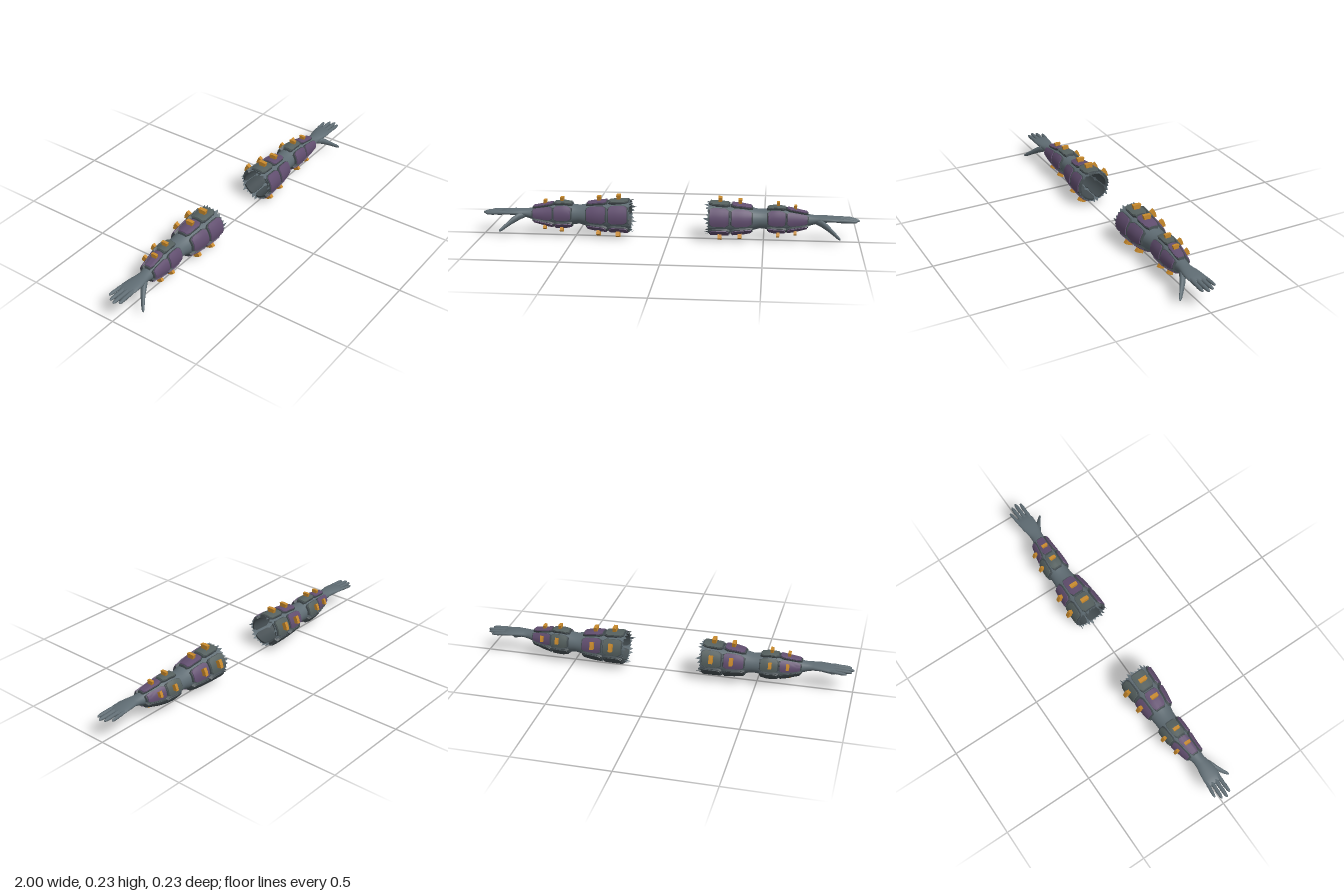
import * as THREE from 'three';
import { toCreasedNormals } from 'three/addons/utils/BufferGeometryUtils.js';

// Arm cross-sections along x: [x, centreY, centreZ, radiusY, radiusZ]
const ARM = [
  [0.215, 0.103, -0.006, 0.079, 0.08], [0.27, 0.102, -0.006, 0.078, 0.079],
  [0.33, 0.1, -0.006, 0.075, 0.075], [0.39, 0.1, -0.007, 0.07, 0.07],
  [0.44, 0.1, -0.009, 0.06, 0.062], [0.48, 0.102, -0.012, 0.051, 0.056],
  [0.52, 0.102, -0.012, 0.055, 0.055], [0.56, 0.101, -0.011, 0.063, 0.056],
  [0.61, 0.1, -0.008, 0.06, 0.053], [0.66, 0.1, -0.004, 0.05, 0.046],
  [0.72, 0.103, 0.002, 0.035, 0.038], [0.76, 0.107, 0.006, 0.025, 0.032],
  [0.79, 0.111, 0.008, 0.02, 0.036], [0.83, 0.113, 0.007, 0.017, 0.043],
  [0.87, 0.112, 0.005, 0.014, 0.046], [0.9, 0.11, 0.003, 0.011, 0.043], [0.912, 0.109, 0.002, 0.002, 0.03],
];

function sectionAt(x) {
  let i = 0;
  while (i < ARM.length - 2 && ARM[i + 1][0] < x) i++;
  const a = ARM[i], b = ARM[i + 1];
  const t = THREE.MathUtils.clamp((x - a[0]) / (b[0] - a[0]), 0, 1);
  return a.map((v, k) => v + (b[k] - v) * t);
}

// Point at an angle around the arm (0 = front, 90 degrees = top), raised by h
function armPoint(x, angle, h) {
  const [, cy, cz, ry, rz] = sectionAt(x);
  return [x, cy + Math.sin(angle) * (ry + h), cz + Math.cos(angle) * (rz + h)];
}

// Smooth skin through elliptical sections
function loft(sections, sides) {
  const pos = [], idx = [];
  for (const [x, cy, cz, ry, rz] of sections)
    for (let j = 0; j < sides; j++) {
      const a = (j / sides) * Math.PI * 2;
      pos.push(x, cy + Math.sin(a) * ry, cz + Math.cos(a) * rz);
    }
  for (let i = 0; i < sections.length - 1; i++)
    for (let j = 0; j < sides; j++) {
      const a = i * sides + j, b = i * sides + ((j + 1) % sides);
      idx.push(a, a + sides, b, b, a + sides, b + sides);
    }
  const g = new THREE.BufferGeometry();
  g.setAttribute('position', new THREE.Float32BufferAttribute(pos, 3));
  g.setIndex(idx);
  g.computeVertexNormals();
  return g;
}

// Curved plate wrapped round the arm, with cut corners and bevelled top
function plate(x0, x1, angle, width, low, high) {
  const g = new THREE.BoxGeometry(1, 1, 1, 6, 1, 6);
  const p = g.attributes.position;
  for (let i = 0; i < p.count; i++) {
    const top = p.getY(i) > 0;
    const u = p.getX(i) * (top ? 0.93 : 1);
    const cut = Math.abs(p.getX(i)) > 0.45 ? 0.78 : 1;
    const v = p.getZ(i) * cut * (top ? 0.92 : 1);
    p.setXYZ(i, ...armPoint((x0 + x1) / 2 + u * (x1 - x0), angle - v * width, top ? high : low));
  }
  return toCreasedNormals(g, 0.5);
}

// Stud that widens outwards
function stud(x, angle, size) {
  const g = new THREE.BoxGeometry(0.02 * size, 0.036 * size, 0.046 * size, 1, 2, 2);
  const p = g.attributes.position;
  for (let i = 0; i < p.count; i++) {
    const up = p.getY(i) / (0.036 * size) + 0.5;
    const crown = up > 0.9 && Math.abs(p.getZ(i)) < 0.001 ? 0.002 : 0;
    p.setXYZ(i, p.getX(i), p.getY(i) + crown, p.getZ(i) * (0.62 + 0.38 * up));
  }
  g.rotateX(Math.PI / 2 - angle);
  g.translate(...armPoint(x, angle, 0.018));
  return toCreasedNormals(g, 0.4);
}

// Torn edge of the sleeve: a ring of uneven pointed strips
function tornCuff() {
  const pos = [], n = 26;
  for (let i = 0; i < n; i++) {
    const a0 = (i / n) * Math.PI * 2, a1 = ((i + 1) / n) * Math.PI * 2;
    const tip = 0.183 + 0.022 * Math.abs(Math.sin(i * 2.3));
    const P = armPoint(0.25, a0, 0.003), Q = armPoint(0.25, a1, 0.003);
    const R = armPoint(0.212, a0, 0.005), S = armPoint(0.212, a1, 0.005);
    const T = armPoint(0.215, (a0 + a1) / 2 + 0.06, 0.009);
    T[0] = tip;
    pos.push(...R, ...P, ...S, ...S, ...P, ...Q, ...T, ...R, ...S);
  }
  const g = new THREE.BufferGeometry();
  g.setAttribute('position', new THREE.Float32BufferAttribute(pos, 3));
  g.computeVertexNormals();
  return g;
}

// Mirror a geometry across x and restore its winding
function mirrored(geometry) {
  const g = geometry.index ? geometry.toNonIndexed() : geometry.clone();
  g.scale(-1, 1, 1);
  for (const attr of Object.values(g.attributes)) {
    const n = attr.itemSize, a = attr.array;
    for (let t = 0; t < attr.count; t += 3)
      for (let k = 0; k < n; k++) {
        const b = (t + 1) * n + k, c = (t + 2) * n + k;
        [a[b], a[c]] = [a[c], a[b]];
      }
  }
  return g;
}

export function createModel() {
  const mat = (name, color, extra) => new THREE.MeshStandardMaterial({ name, color, ...extra });
  const slate = mat('slate', 0x5f6c73, { side: THREE.DoubleSide });
  const dark = mat('dark slate', 0x434c50);
  const plateGrey = mat('plate grey', 0x55605f);
  const purple = mat('purple', 0x614e6f);
  const orange = mat('orange', 0xc98a2c);

  const parts = [];
  const add = (name, geometry, material) => parts.push({ name, geometry, material });

  // Arm, hand and torn sleeve
  add('armAndPalm', loft(ARM, 28), slate);
  add('tornCuff', tornCuff(), slate);

  // Fingers: [tip x, base z, tip z, radius]
  [[0.965, -0.03, -0.041, 0.009], [0.99, -0.009, -0.014, 0.0105],
    [1.0, 0.014, 0.012, 0.011], [0.985, 0.036, 0.038, 0.0105]].forEach(([tip, z0, z1, r], i) => {
    const sections = [[0, 0.9], [0.3, 1.08], [0.5, 0.92], [0.65, 1], [0.88, 0.8], [0.97, 0.5], [1, 0.05]]
      .map(([t, s]) => [0.87 + (tip - 0.87) * t, 0.112 - 0.004 * t, z0 + (z1 - z0) * t, r * s, r * s]);
    add('finger' + (i + 1), loft(sections, 10), slate);
  });
  add('thumb', loft([
    [0.765, 0.105, 0.018, 0.016, 0.016], [0.8, 0.096, 0.036, 0.021, 0.019],
    [0.835, 0.075, 0.057, 0.018, 0.016], [0.865, 0.052, 0.08, 0.013, 0.012],
    [0.885, 0.037, 0.096, 0.011, 0.01], [0.896, 0.03, 0.104, 0.005, 0.005], [0.898, 0.029, 0.105, 0.001, 0.001],
  ], 12), slate);

  // Armour bands: start, end, stud position, stud size, colour of upper plates
  const bands = [
    [0.21, 0.325, 0.27, 1, plateGrey], [0.325, 0.445, 0.375, 0.95, purple],
    [0.515, 0.62, 0.575, 0.8, plateGrey], [0.615, 0.735, 0.665, 0.75, purple],
  ];
  // Plates around each band: name, angle, width (degrees), has a stud
  const around = [
    ['top', 90, 60, true], ['back', 159, 66, true], ['under', 226, 58, false],
    ['lowerFront', 294, 66, true], ['front', 15, 76, false],
  ];
  const rad = THREE.MathUtils.degToRad;
  bands.forEach(([x0, x1, sx, size, upper], b) => {
    for (const [side, deg, width, studded] of around) {
      const name = side + 'Plate' + (b + 1), a = rad(deg), w = rad(width);
      const colour = side === 'under' ? dark : side === 'front' || side === 'lowerFront' ? purple : upper;
      add(name + 'Rim', plate(x0, x1, a, w, -0.006, 0.01), dark);
      add(name, plate(x0 + 0.006, x1 - 0.006, a, w * 0.92, 0.002, 0.0145), colour);
      if (studded) add(side + 'Stud' + (b + 1), stud(sx, a, size), orange);
    }
  });

  const model = new THREE.Group();
  model.name = 'armouredArms';
  for (const side of ['left', 'right']) {
    const arm = new THREE.Group();
    arm.name = side + 'Arm';
    for (const { name, geometry, material } of parts) {
      const mesh = new THREE.Mesh(side === 'left' ? geometry : mirrored(geometry), material);
      mesh.name = name;
      arm.add(mesh);
    }
    model.add(arm);
  }
  return model;
}
